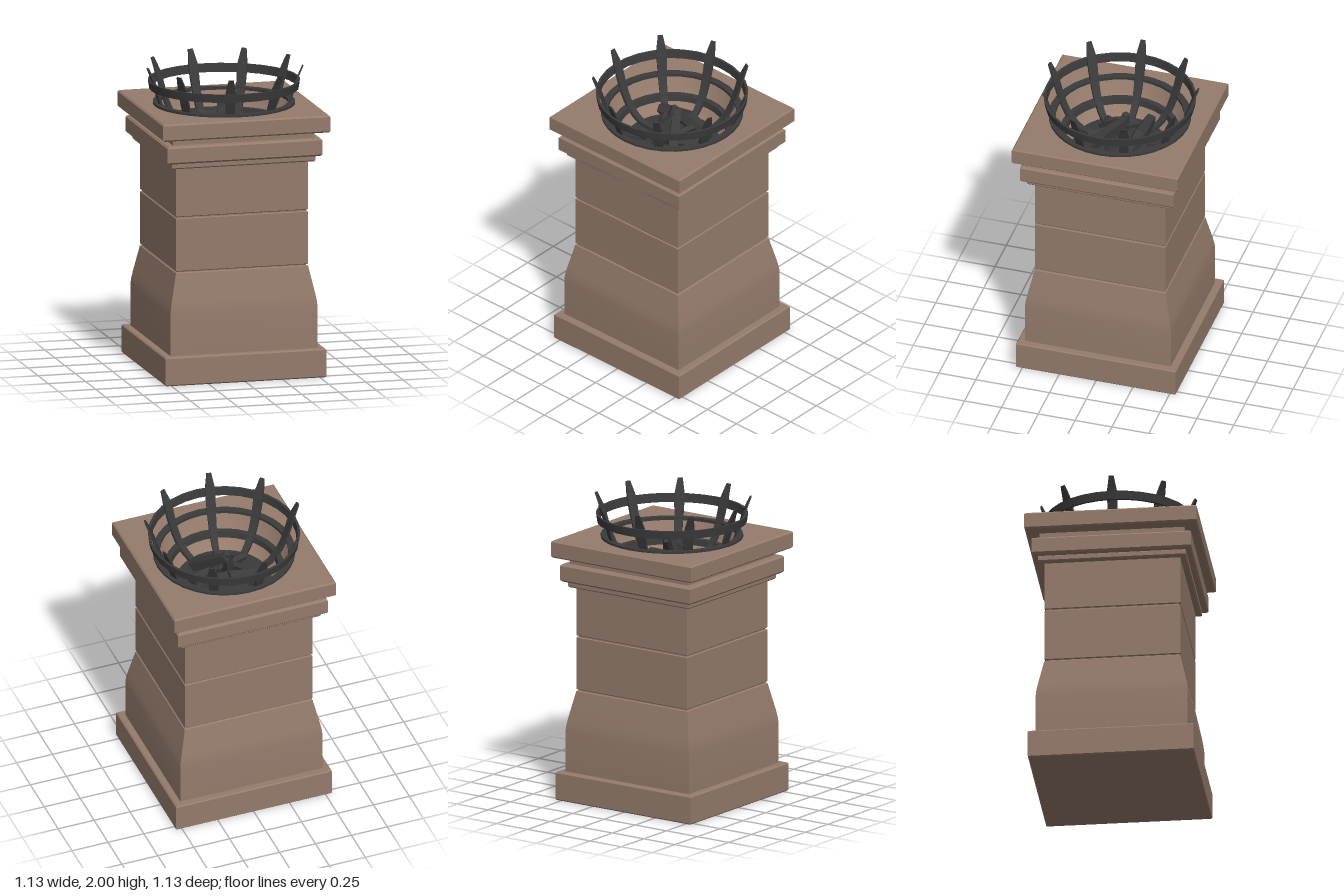
import * as THREE from 'three';
import { toCreasedNormals } from 'three/addons/utils/BufferGeometryUtils.js';

const V = (x, y, z) => new THREE.Vector3(x, y, z);

export function createModel() {
  const model = new THREE.Group();
  const stone = new THREE.MeshStandardMaterial({ color: 0x957b6c });
  stone.name = 'stone';
  const iron = new THREE.MeshStandardMaterial({ color: 0x3b3b3b });
  iron.name = 'iron';

  const add = (name, geometry, material, parent = model) => {
    const mesh = new THREE.Mesh(geometry, material);
    mesh.name = name;
    parent.add(mesh);
    return mesh;
  };
  const lathe = (profile, segments, phi = 0) =>
    new THREE.LatheGeometry(profile.map(([r, y]) => new THREE.Vector2(r, y)), segments, phi);

  // Square masonry: a profile of [half width, height] swept around four sides
  const square = (name, profile) => add(name,
    toCreasedNormals(lathe(profile.map(([h, y]) => [h * Math.SQRT2, y]), 4, Math.PI / 4), 0.4), stone);
  // Block with small chamfers; inner is the half width of the opening on top
  const block = (name, h, y0, y1, inner = 0, c = 0.008) => square(name, [
    [0, y0], [h - c, y0], [h, y0 + c], [h, y1 - c], [h - c, y1], [inner, y1]]);

  block('plinth', 0.542, 0, 0.19);
  square('flaredBase', [[0, 0.185], [0.495, 0.185], [0.495, 0.46], [0.491, 0.5],
    [0.482, 0.55], [0.449, 0.705], [0.445, 0.725], [0.438, 0.73], [0, 0.73]]);
  block('groove', 0.434, 0.72, 1.11);
  block('lowerCourse', 0.443, 0.736, 1.09, 0, 0.005);
  block('upperCourse', 0.443, 1.098, 1.43, 0, 0.005);
  block('lowerMoulding', 0.483, 1.425, 1.468);
  block('middleMoulding', 0.521, 1.465, 1.582, 0.45, 0.012);
  square('neck', [[0.473, 1.575], [0.473, 1.635]]);
  square('capSlab', [[0.46, 1.628], [0.552, 1.628], [0.563, 1.638], [0.563, 1.732], [0.553, 1.742]]);

  // Top of the cap, pierced by the round fire pit
  const top = new THREE.Shape();
  const t = 0.553;
  top.moveTo(-t, -t).lineTo(t, -t).lineTo(t, t).lineTo(-t, t).closePath();
  const hole = new THREE.Path();
  hole.absarc(0, 0, 0.455, 0, Math.PI * 2, true);
  top.holes.push(hole);
  const topGeometry = new THREE.ShapeGeometry(top, 20);
  topGeometry.rotateX(-Math.PI / 2).translate(0, 1.742, 0);
  add('capTop', topGeometry, stone);
  add('pitWall', lathe([[0.455, 1.742], [0.425, 1.66], [0.385, 1.58], [0.33, 1.51], [0.31, 1.5]], 40), stone);

  // Iron basket
  const basket = new THREE.Group();
  basket.name = 'ironBasket';
  model.add(basket);
  const ring = (name, r0, r1, y0, y1, flare = 0) => add(name, toCreasedNormals(lathe([
    [r0, y0], [r1, y0], [r1 + flare, y1], [r0 + flare, y1], [r0, y0]], 32), 0.5), iron, basket);
  ring('topHoop', 0.471, 0.487, 1.845, 1.9, 0.008);
  ring('rimRing', 0.418, 0.463, 1.738, 1.757);
  ring('innerRing', 0.345, 0.382, 1.595, 1.635, 0.008);
  add('emberBed', lathe([[0.315, 1.495], [0.31, 1.52], [0, 1.53]], 32), iron, basket);

  // Curved blade: a box bent along the basket profile, widest near the hoop
  const path = new THREE.CatmullRomCurve3([V(0, 1.535, 0.17), V(0, 1.56, 0.29),
    V(0, 1.65, 0.378), V(0, 1.76, 0.428), V(0, 1.89, 0.468), V(0, 2, 0.513)]);
  const blade = new THREE.BoxGeometry(1, 1, 1, 1, 12, 1);
  const pos = blade.attributes.position;
  for (let i = 0; i < pos.count; i++) {
    const u = pos.getY(i) + 0.5;
    const p = path.getPointAt(u);
    const tan = path.getTangentAt(u);
    const width = u < 0.82 ? 0.034 + 0.042 * u : 0.068 - 0.2 * (u - 0.82);
    const depth = pos.getZ(i) * (0.026 - 0.016 * u);
    pos.setXYZ(i, pos.getX(i) * width, Math.min(2, p.y - tan.z * depth), p.z + tan.y * depth);
  }
  const bladeGeometry = toCreasedNormals(blade, 0.4);
  for (let i = 0; i < 9; i++) {
    add('blade', bladeGeometry, iron, basket).rotation.y = -Math.PI / 2 + i * Math.PI * 2 / 9;
  }

  // Charred logs: faceted tapered prisms laid between two points
  const logs = new THREE.Group();
  logs.name = 'charredLogs';
  model.add(logs);
  const log = (a, b, r0, r1, sides = 5) => {
    const g = new THREE.CylinderGeometry(r1, r0, a.distanceTo(b), sides).toNonIndexed();
    g.computeVertexNormals();
    const mesh = add('log', g, iron, logs);
    mesh.position.copy(a).add(b).multiplyScalar(0.5);
    mesh.quaternion.setFromUnitVectors(V(0, 1, 0), b.clone().sub(a).normalize());
  };
  log(V(-0.22, 1.6, -0.14), V(0.02, 1.63, -0.14), 0.04, 0.055);
  log(V(0.02, 1.63, -0.14), V(0.23, 1.6, -0.11), 0.055, 0.03);
  log(V(-0.2, 1.56, 0.14), V(0.23, 1.58, 0.0), 0.028, 0.04);
  log(V(0.15, 1.56, 0.17), V(0.0, 1.735, -0.05), 0.046, 0.036, 4);
  log(V(-0.09, 1.56, 0.14), V(0.02, 1.72, -0.02), 0.045, 0.034, 4);
  log(V(-0.13, 1.62, -0.08), V(0.02, 1.56, 0.21), 0.03, 0.028);
  log(V(0.12, 1.64, -0.08), V(-0.04, 1.55, 0.18), 0.026, 0.03);
  log(V(-0.04, 1.54, 0.02), V(-0.01, 1.76, -0.04), 0.045, 0.025);

  return model;
}
